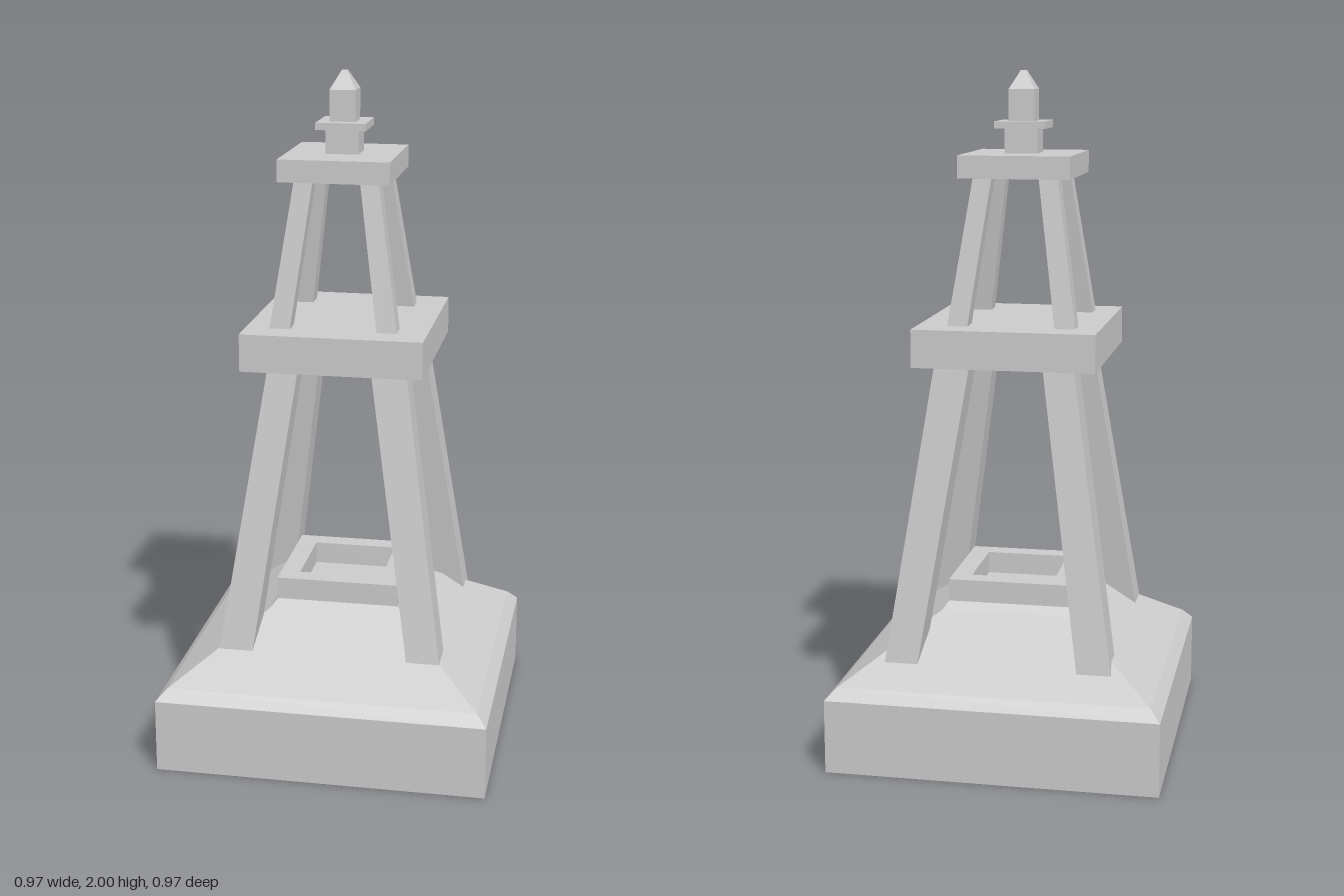
import * as THREE from 'three';

const material = new THREE.MeshStandardMaterial({ color: 0xcccccc, flatShading: true });

function addMesh(parent, name, geometry) {
  const mesh = new THREE.Mesh(geometry, material);
  mesh.name = name;
  parent.add(mesh);
  return mesh;
}

// Square solid from a [halfWidth, y] profile, centred on (x, z)
function squareTurned(profile, x = 0, z = 0) {
  const points = profile.map(([r, y]) => new THREE.Vector2(r * Math.SQRT2, y));
  const geometry = new THREE.LatheGeometry(points, 4, Math.PI / 4).toNonIndexed();
  geometry.translate(x, 0, z);
  geometry.computeVertexNormals();
  return geometry;
}

// Box between two rectangles [x0, x1, z0, z1] at heights y0 and y1
function taperedBox(bottom, y0, top, y1) {
  const geometry = new THREE.BoxGeometry(1, 1, 1).toNonIndexed();
  const p = geometry.attributes.position;
  for (let i = 0; i < p.count; i++) {
    const upper = p.getY(i) > 0;
    const r = upper ? top : bottom;
    p.setXYZ(i, p.getX(i) > 0 ? r[1] : r[0], upper ? y1 : y0, p.getZ(i) > 0 ? r[3] : r[2]);
  }
  geometry.computeVertexNormals();
  return geometry;
}

// Four leaning legs; each level gives the y and the [outer, inner] pairs per side
function addLegs(parent, name, low, high) {
  for (const sx of ['left', 'right']) {
    for (const sz of ['front', 'back']) {
      const rect = (level) => {
        const xs = [...level[sx]].sort((a, b) => a - b);
        const zs = [...level[sz]].sort((a, b) => a - b);
        return [...xs, ...zs];
      };
      const label = name + sz[0].toUpperCase() + sz.slice(1) + sx[0].toUpperCase() + sx.slice(1);
      addMesh(parent, label, taperedBox(rect(low), low.y, rect(high), high.y));
    }
  }
}

export function createModel() {
  const model = new THREE.Group();
  model.name = 'tower';

  // Plinth with a hipped, slightly kicked roof
  addMesh(model, 'base', squareTurned([
    [0, 0], [0.486, 0], [0.486, 0.218], [0.456, 0.25], [0.2, 0.42], [0.183, 0.444], [0, 0.444],
  ]));

  // Hollow curb on the roof
  addMesh(model, 'curb', squareTurned([
    [0.125, 0.44], [0.183, 0.44], [0.183, 0.51], [0.125, 0.51], [0.125, 0.44],
  ]));

  // Lower legs, sunk a little into the roof
  const lowerLegs = new THREE.Group();
  lowerLegs.name = 'lowerLegs';
  model.add(lowerLegs);
  addLegs(lowerLegs, 'lowerLeg',
    { y: 0.28, right: [-0.335, -0.235], left: [0.337, 0.24], front: [0.34, 0.24], back: [-0.375, -0.273] },
    { y: 1.18, right: [-0.2, -0.11], left: [0.203, 0.1], front: [0.196, 0.114], back: [-0.258, -0.16] });

  // Middle platform
  addMesh(model, 'middlePlatform',
    taperedBox([-0.27, 0.26, -0.312, 0.261], 1.17, [-0.27, 0.26, -0.312, 0.261], 1.28));

  // Upper legs
  const upperLegs = new THREE.Group();
  upperLegs.name = 'upperLegs';
  model.add(upperLegs);
  addLegs(upperLegs, 'upperLeg',
    { y: 1.27, right: [-0.201, -0.141], left: [0.174, 0.115], front: [0.176, 0.118], back: [-0.227, -0.167] },
    { y: 1.71, right: [-0.137, -0.082], left: [0.106, 0.052], front: [0.106, 0.053], back: [-0.168, -0.111] });

  // Top platform
  addMesh(model, 'topPlatform',
    taperedBox([-0.179, 0.145, -0.206, 0.147], 1.70, [-0.179, 0.145, -0.206, 0.147], 1.765));

  // Finial: neck, flange and pointed post
  const finial = new THREE.Group();
  finial.name = 'finial';
  model.add(finial);
  const [cx, cz] = [-0.015, -0.03];
  addMesh(finial, 'neck', squareTurned([[0, 1.76], [0.048, 1.76], [0.048, 1.84], [0, 1.84]], cx, cz));
  addMesh(finial, 'flange', squareTurned([[0, 1.836], [0.073, 1.836], [0.073, 1.857], [0, 1.857]], cx, cz));
  addMesh(finial, 'pointedPost', squareTurned([
    [0, 1.85], [0.038, 1.85], [0.038, 1.947], [0.008, 2], [0, 2],
  ], cx, cz));

  return model;
}
